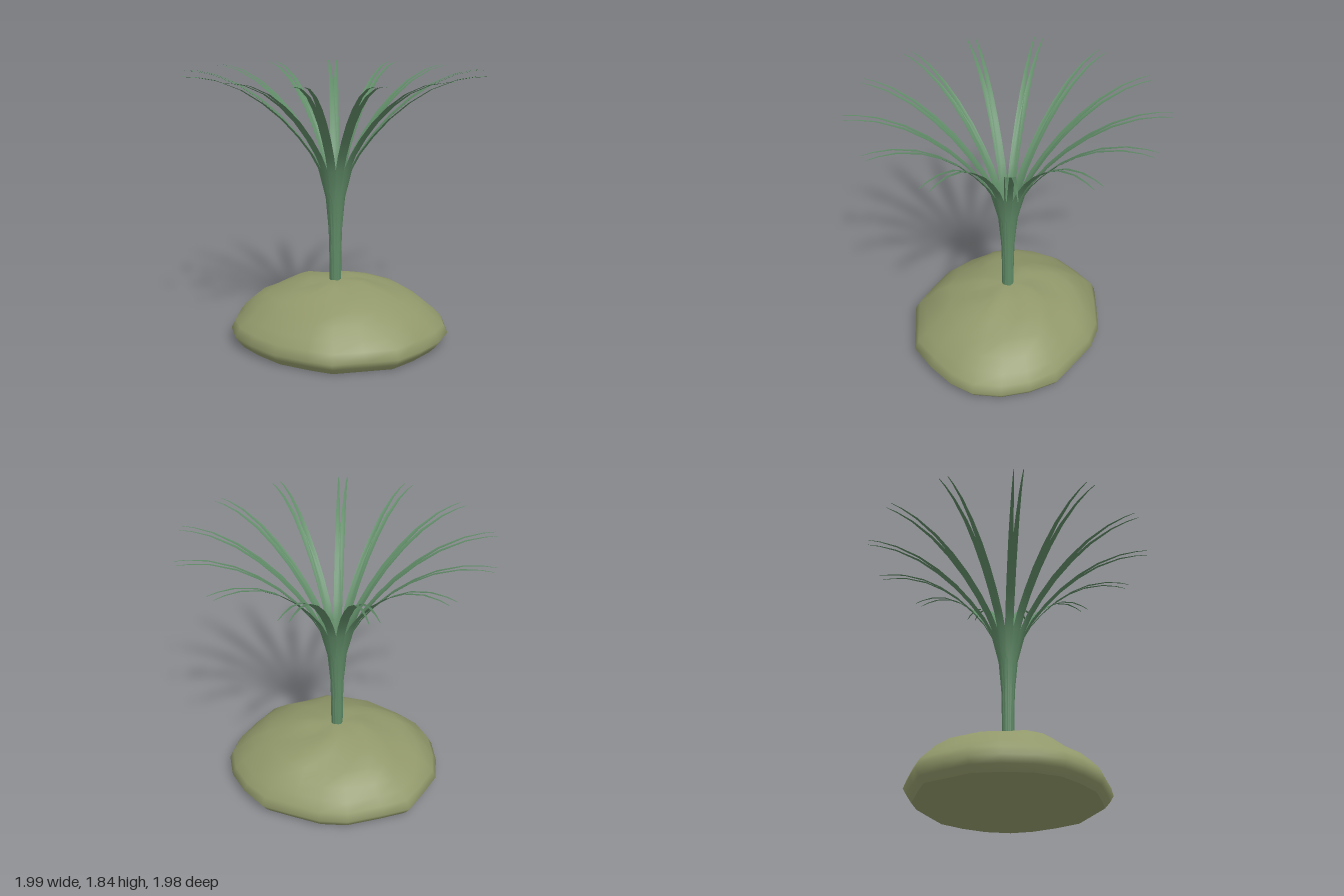
import * as THREE from 'three';

const moundMaterial = new THREE.MeshStandardMaterial({ color: 0x91986a, name: 'mossy olive' });
const leafMaterial = new THREE.MeshStandardMaterial({ color: 0x5f8a66, name: 'leaf green', side: THREE.DoubleSide });

// Widest outline of the mound as [x, z], counter-clockwise seen from below
const OUTLINE = [
  [0.78, 0], [0.74, 0.17], [0.64, 0.35], [0.51, 0.52], [0.31, 0.6], [0.11, 0.68], [-0.06, 0.65],
  [-0.29, 0.59], [-0.48, 0.47], [-0.62, 0.35], [-0.7, 0.18], [-0.72, -0.02], [-0.7, -0.21],
  [-0.61, -0.36], [-0.5, -0.53], [-0.32, -0.59], [-0.08, -0.66], [0.11, -0.65], [0.31, -0.58],
  [0.5, -0.51], [0.64, -0.36], [0.74, -0.19],
];
// Mound cross-section as [outline scale, height]
const PROFILE = [
  [0.91, 0], [0.96, 0.04], [1, 0.085], [0.96, 0.145], [0.88, 0.2], [0.78, 0.265],
  [0.64, 0.325], [0.46, 0.375], [0.25, 0.415],
];
// Centre line of one blade as [radius, height, width]
const BLADE = [
  [0.036, 0.38, 0.036], [0.037, 0.6, 0.038], [0.041, 0.78, 0.042], [0.06, 1.0, 0.048],
  [0.11, 1.2, 0.05], [0.17, 1.31, 0.048], [0.26, 1.43, 0.045], [0.37, 1.55, 0.04],
  [0.5, 1.66, 0.034], [0.64, 1.75, 0.026], [0.8, 1.815, 0.017], [0.92, 1.838, 0.01], [1.0, 1.842, 0.004],
];

function meshData(positions, indices) {
  const g = new THREE.BufferGeometry();
  g.setAttribute('position', new THREE.Float32BufferAttribute(positions, 3));
  g.setIndex(indices);
  g.computeVertexNormals();
  return g;
}

// Lumpy dome lofted from scaled outlines
function moundGeometry() {
  const n = OUTLINE.length, pos = [], idx = [];
  PROFILE.forEach(([s, y], j) => {
    OUTLINE.forEach(([x, z]) => {
      const a = Math.atan2(z, x);
      const upper = Math.max(0, j - 2) / 6;
      const lump = 1 + upper * (0.035 * Math.sin(5 * a + j) - 0.05 * Math.sin(a) + 0.02 * Math.sin(9 * a - j * 2));
      const rise = upper * 0.01 * Math.sin(4 * a + j * 1.7);
      pos.push(x * s * lump, y + rise, z * s * lump);
    });
  });
  const top = pos.length / 3;
  pos.push(0, 0.428, 0);
  for (let j = 0; j < PROFILE.length; j++) {
    for (let i = 0; i < n; i++) {
      const a = j * n + i, b = j * n + (i + 1) % n;
      if (j === PROFILE.length - 1) idx.push(a, top, b);
      else idx.push(a, a + n, b, b, a + n, b + n);
    }
  }
  return meshData(pos, idx);
}

// Flat underside of the mound
function undersideGeometry() {
  const s = PROFILE[0][0], pos = [0, 0, 0], idx = [];
  OUTLINE.forEach(([x, z], i) => {
    pos.push(x * s, 0, z * s);
    idx.push(0, i + 1, (i + 1) % OUTLINE.length + 1);
  });
  return meshData(pos, idx);
}

// Tapered ribbon with a shallow central fold, arching towards +z
function bladeGeometry() {
  const pos = [], idx = [];
  BLADE.forEach(([r, y, w], j) => {
    const p = BLADE[Math.max(0, j - 1)], q = BLADE[Math.min(BLADE.length - 1, j + 1)];
    const dr = q[0] - p[0], dy = q[1] - p[1], len = Math.hypot(dr, dy);
    const fold = w * 0.12;
    pos.push(-w / 2, y, r);
    pos.push(0, y - dr / len * fold, r + dy / len * fold);
    pos.push(w / 2, y, r);
    if (j < BLADE.length - 1) {
      const a = j * 3;
      for (const k of [a, a + 1]) idx.push(k, k + 1, k + 3, k + 1, k + 4, k + 3);
    }
  });
  return meshData(pos, idx);
}

export function createModel() {
  const model = new THREE.Group();
  model.name = 'grassOnMound';

  const mound = new THREE.Group();
  mound.name = 'mound';
  const dome = new THREE.Mesh(moundGeometry(), moundMaterial);
  dome.name = 'moundDome';
  const underside = new THREE.Mesh(undersideGeometry(), moundMaterial);
  underside.name = 'moundUnderside';
  mound.add(dome, underside);

  // Thirteen pairs of blades fanned around the stem
  const tuft = new THREE.Group();
  tuft.name = 'grassTuft';
  const geometry = bladeGeometry();
  for (let i = 0; i < 13; i++) {
    for (const offset of [0, -0.061]) {
      const blade = new THREE.Mesh(geometry, leafMaterial);
      blade.name = 'blade';
      blade.rotation.y = i * Math.PI * 2 / 13 + offset;
      tuft.add(blade);
    }
  }
  model.add(mound, tuft);
  return model;
}
